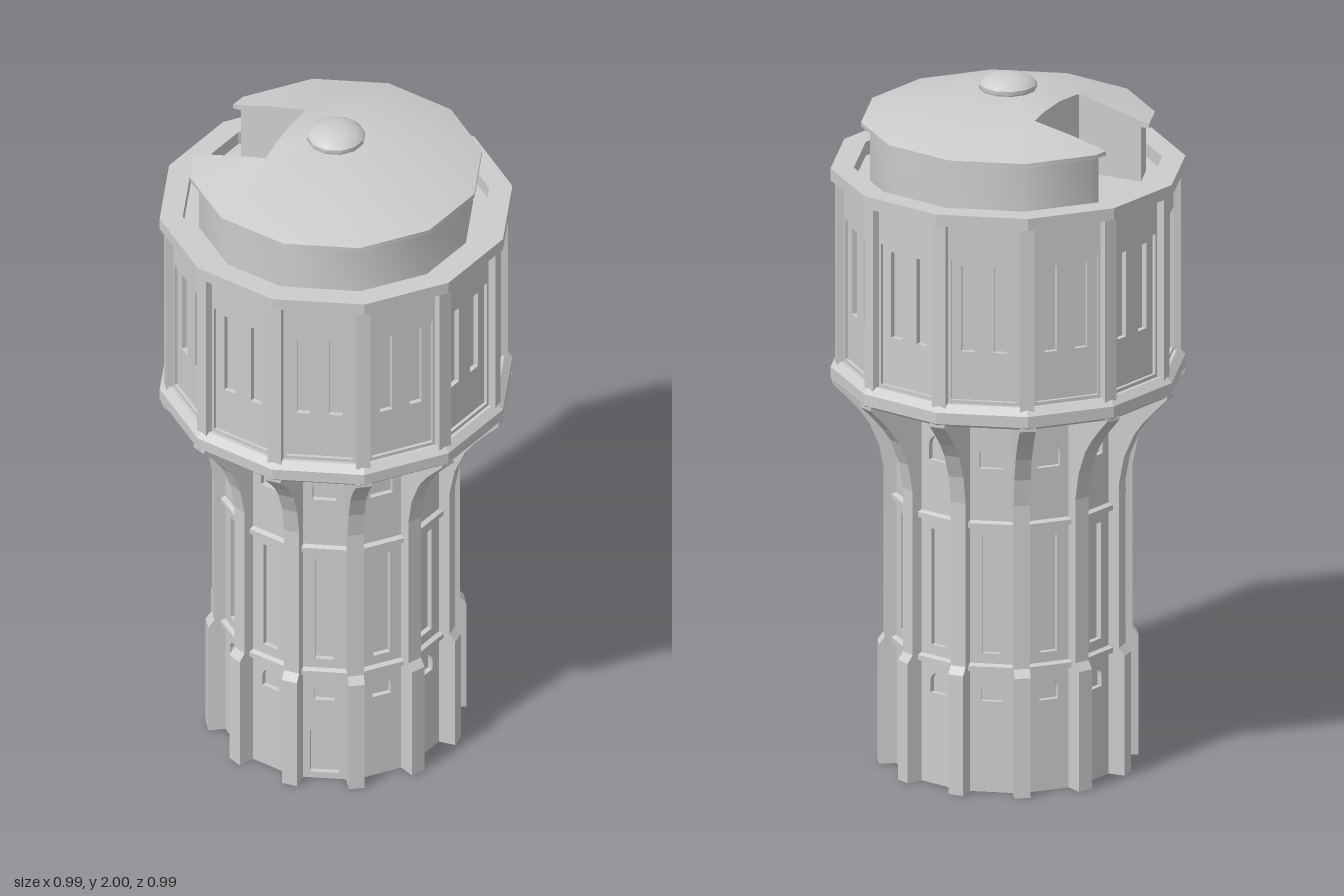
import * as THREE from 'three';
import { mergeGeometries, toCreasedNormals } from 'three/addons/utils/BufferGeometryUtils.js';

const SIDES = 12, STEP = Math.PI / 6, C15 = Math.cos(STEP / 2), S15 = Math.sin(STEP / 2);
const V2 = (p) => new THREE.Vector2(p[0], p[1]);

// Twelve-sided turned solid with flat faces
const turned = (pts, crease = 0.2) =>
  toCreasedNormals(new THREE.LatheGeometry(pts.map(V2), SIDES), crease);

// Repeat a geometry around the tower
function around(make, offset) {
  const list = [];
  for (let k = 0; k < SIDES; k++) list.push(make(k).rotateY(offset + k * STEP));
  return mergeGeometries(list);
}

const rect = (x, y0, y1, hw) => new THREE.Path([[x - hw, y0], [x + hw, y0], [x + hw, y1], [x - hw, y1]].map(V2));

function arch(y0, y1, r) {
  const p = new THREE.Path();
  p.moveTo(-r, y0);
  p.lineTo(r, y0);
  p.lineTo(r, y1 - r);
  p.absarc(0, y1 - r, r, 0, Math.PI, false);
  return p;
}

// One flat wall panel with openings, at corner radius R
function panel(R, y0, y1, t, holes) {
  const w = R * S15;
  const s = new THREE.Shape([[-w, y0], [w, y0], [w, y1], [-w, y1]].map(V2));
  s.holes.push(...holes);
  return new THREE.ExtrudeGeometry(s, { depth: t, bevelEnabled: false, curveSegments: 6 })
    .translate(0, 0, R * C15 - t);
}

// Roof notch: frame direction d (outward) and t (sideways)
const D = [-0.82, -0.572], T = [-0.572, 0.82], CUT = 0.154, HALF = 0.129;
const EAVE = 0.41, DRUM = 0.385, FLOOR = 1.7, UNDER = 1.86;
const dOf = (p) => p[0] * D[0] + p[2] * D[1];
const tOf = (p) => p[0] * T[0] + p[2] * T[1];
const normals = Array.from({ length: SIDES }, (_, k) => [Math.sin((k + 0.5) * STEP), Math.cos((k + 0.5) * STEP)]);
const polyRadius = (x, z) => Math.max(...normals.map((n) => x * n[0] + z * n[1])) / C15;
const roofY = (x, z) => 1.977 - 0.256 * polyRadius(x, z);

// Keep the part of a polygon where f >= 0
function clip(poly, f) {
  const out = [];
  poly.forEach((a, i) => {
    const b = poly[(i + 1) % poly.length], fa = f(a), fb = f(b);
    if (fa >= 0) out.push(a);
    if (fa * fb < 0) out.push(a.map((v, j) => v + (b[j] - v) * fa / (fa - fb)));
  });
  return out;
}

const fromPositions = (pos) => {
  const g = new THREE.BufferGeometry();
  g.setAttribute('position', new THREE.Float32BufferAttribute(pos, 3));
  g.computeVertexNormals();
  return g;
};

// Remove the notch from a geometry
function notched(geo) {
  const src = geo.index ? geo.toNonIndexed() : geo, a = src.attributes.position, pos = [];
  for (let i = 0; i < a.count; i += 3) {
    const tri = [0, 1, 2].map((j) => [a.getX(i + j), a.getY(i + j), a.getZ(i + j)]);
    const outer = clip(tri, (p) => dOf(p) - CUT);
    const parts = [
      clip(tri, (p) => CUT - dOf(p)),
      clip(outer, (p) => tOf(p) - HALF),
      clip(outer, (p) => -HALF - tOf(p)),
    ];
    for (const p of parts)
      for (let j = 1; j + 1 < p.length; j++) pos.push(...p[0], ...p[j], ...p[j + 1]);
  }
  return toCreasedNormals(fromPositions(pos), 0.7);
}

// Vertical wall from (d,t) to (d,t), following the roof slope
function notchWall(a, b, bottom) {
  const pos = [], n = 16;
  const at = (f) => {
    const d = a[0] + (b[0] - a[0]) * f, t = a[1] + (b[1] - a[1]) * f;
    return [d * D[0] + t * T[0], d * D[1] + t * T[1]];
  };
  for (let i = 0; i < n; i++) {
    const [x0, z0] = at(i / n), [x1, z1] = at((i + 1) / n);
    const p = [x0, bottom, z0], q = [x1, bottom, z1], r = [x1, roofY(x1, z1), z1], s = [x0, roofY(x0, z0), z0];
    pos.push(...p, ...q, ...r, ...p, ...r, ...s);
  }
  return fromPositions(pos);
}

// Where the line at sideways offset t leaves a twelve-sided outline
function exit(R, t) {
  let best = Infinity;
  for (const n of normals) {
    const dn = D[0] * n[0] + D[1] * n[1];
    if (dn > 0.01) best = Math.min(best, (R * C15 - t * (T[0] * n[0] + T[1] * n[1])) / dn);
  }
  return best;
}

export function createModel() {
  const tower = new THREE.Group();
  tower.name = 'waterTower';
  const stone = new THREE.MeshStandardMaterial({ color: 0xcccccc, side: THREE.DoubleSide });
  stone.name = 'palest grey';
  const add = (name, geo) => {
    const m = new THREE.Mesh(geo, stone);
    m.name = name;
    tower.add(m);
  };

  // Shaft core and its pierced wall panels
  add('shaftCore', turned([[0, 0], [0.3045, 0], [0.3045, 1.125]]));
  const door = () => new THREE.Path([[-0.04, 0.02], [0.04, 0.02], [0.04, 0.16], [0, 0.205], [-0.04, 0.16]].map(V2));
  add('baseWall', around((k) => panel(0.32, 0, 0.36, 0.015,
    k === SIDES - 1 ? [arch(0.265, 0.325, 0.028), door()] : [arch(0.265, 0.325, 0.028)]), STEP / 2));
  add('middleWall', around(() => panel(0.32, 0.36, 0.78, 0.015, [rect(0, 0.405, 0.745, 0.025)]), STEP / 2));
  add('upperWall', around(() => panel(0.32, 0.78, 1.12, 0.015, [arch(0.945, 1.02, 0.033)]), STEP / 2));
  for (const y of [0.355, 0.773])
    add('shaftLedge', turned([[0.31, y - 0.005], [0.333, y], [0.333, y + 0.015], [0.31, y + 0.025]]));

  // Flared buttresses
  const rib = new THREE.Shape([[0.29, 0], [0.362, 0], [0.362, 0.35], [0.345, 0.372], [0.345, 0.85], [0.36, 0.93],
    [0.39, 1.0], [0.42, 1.042], [0.455, 1.08], [0.49, 1.115], [0.49, 1.125], [0.29, 1.125]].map(V2));
  add('buttresses', around(() => new THREE.ExtrudeGeometry(rib, { depth: 0.045, bevelEnabled: false })
    .translate(0, 0, -0.0225).rotateY(-Math.PI / 2), 0));

  // Tank: base ring, core, recessed panels, frames and pilasters
  add('tankCore', turned([[0.3, 1.12], [0.488, 1.12], [0.495, 1.127], [0.495, 1.16], [0.475, 1.18], [0.44, 1.18], [0.44, 1.7]]));
  add('tankPanels', around(() => panel(0.455, 1.175, 1.705, 0.0145,
    [rect(-0.045, 1.33, 1.58, 0.0185), rect(0.045, 1.33, 1.58, 0.0185)]), STEP / 2));
  add('tankFrames', around(() => panel(0.465, 1.17, 1.705, 0.0095, [rect(0, 1.19, 1.6, 0.092)]), STEP / 2));
  add('tankPilasters', around(() => new THREE.BoxGeometry(0.04, 0.54, 0.05).translate(0, 1.437, 0.455), 0));
  add('parapet', turned([[0.455, 1.7], [0.495, 1.705], [0.495, 1.74], [0.43, 1.74], [0.43, FLOOR], [0, FLOOR]]));

  // Roof drum and roof, with a square notch cut out
  add('roof', notched(turned([[DRUM, FLOOR], [DRUM, UNDER], [EAVE, UNDER], [EAVE, 1.872], [0, 1.977]])));
  add('notchBackWall', notchWall([CUT, -HALF], [CUT, HALF], FLOOR));
  for (const t of [-HALF, HALF]) {
    const inner = exit(DRUM, t);
    add('notchSideWall', notchWall([CUT, t], [inner, t], FLOOR));
    add('notchEaveEnd', notchWall([inner, t], [exit(EAVE, t), t], UNDER));
  }

  // Domed finial
  add('finial', turned([[0.068, 1.94], [0.081, 1.96], [0.081, 1.972], [0.074, 1.98], [0.06, 1.989], [0.035, 1.997], [0, 2]], 0.6));
  return tower;
}
